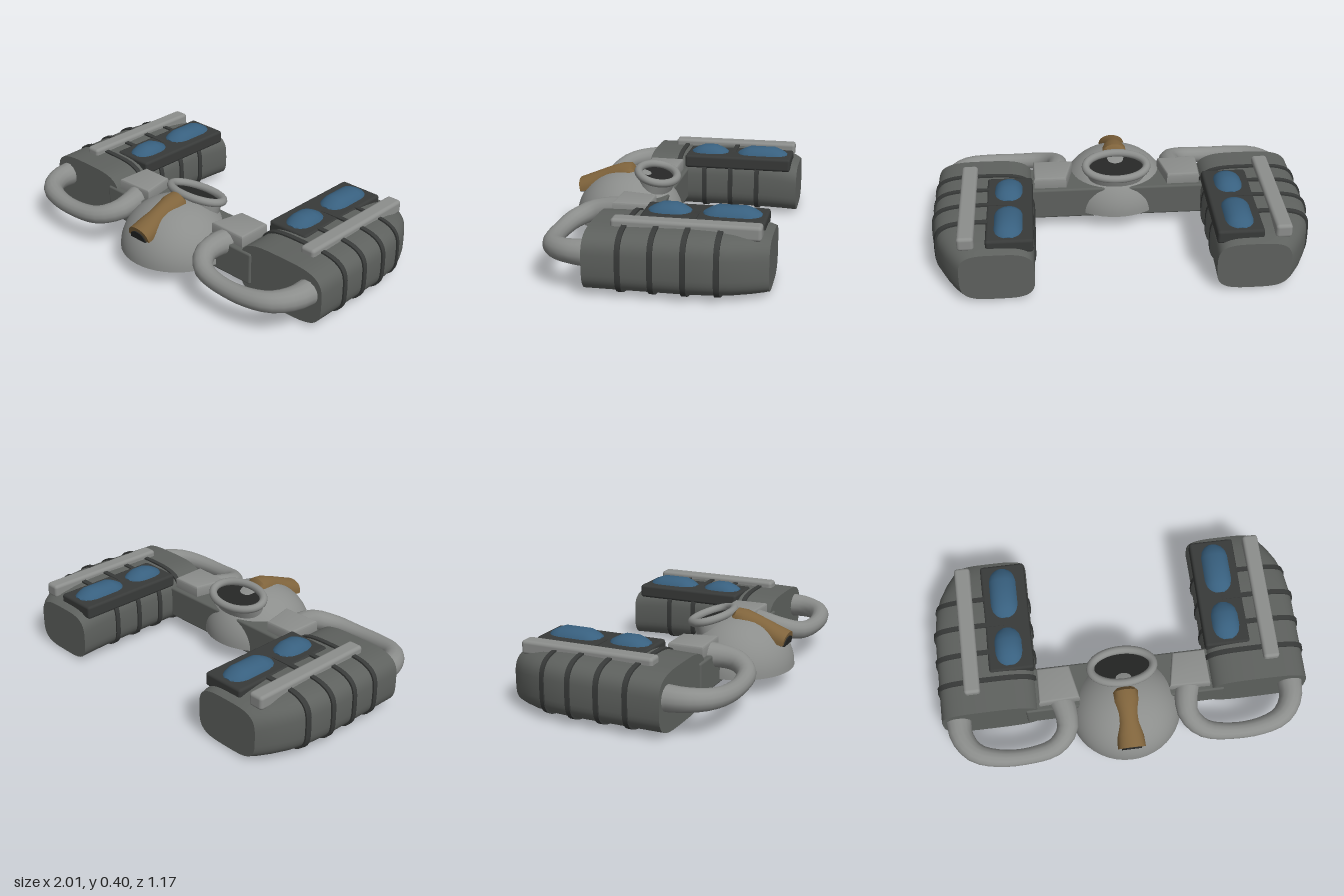
import * as THREE from 'three';
import { toCreasedNormals } from 'three/addons/utils/BufferGeometryUtils.js';
import { RoundedBoxGeometry } from 'three/addons/geometries/RoundedBoxGeometry.js';

const V = (x, y, z) => new THREE.Vector3(x, y, z);
const material = (name, color) => {
  const m = new THREE.MeshStandardMaterial({ color });
  m.name = name;
  return m;
};
const mesh = (name, geometry, mat, x = 0, y = 0, z = 0) => {
  const m = new THREE.Mesh(geometry, mat);
  m.name = name;
  m.position.set(x, y, z);
  return m;
};

// Closed solid through a list of equal-length rings, capped at both ends
function loft(rings, crease = 0.7) {
  const n = rings[0].length, last = rings.length - 1;
  const points = rings.flat(), index = [];
  for (let r = 0; r < last; r++) {
    for (let i = 0; i < n; i++) {
      const a = r * n + i, b = r * n + (i + 1) % n;
      index.push(a, b, a + n, b, b + n, a + n);
    }
  }
  for (const r of [0, last]) {
    const c = points.length;
    points.push(rings[r].reduce((s, p) => s.add(p), V(0, 0, 0)).divideScalar(n));
    for (let i = 0; i < n; i++) {
      const a = r * n + i, b = r * n + (i + 1) % n;
      index.push(...(r ? [a, b, c] : [b, a, c]));
    }
  }
  // Turn the faces outward
  let volume = 0;
  for (let i = 0; i < index.length; i += 3) {
    volume += points[index[i]].dot(points[index[i + 1]].clone().cross(points[index[i + 2]]));
  }
  if (volume < 0) index.reverse();
  const g = new THREE.BufferGeometry().setFromPoints(points);
  g.setIndex(index);
  return toCreasedNormals(g, crease);
}

// Superellipse ring in the xy plane
function ovalRing(cx, cy, z, rx, ry, power = 2, n = 36) {
  const f = v => Math.sign(v) * Math.abs(v) ** (2 / power);
  return Array.from({ length: n }, (_, i) => {
    const a = i / n * Math.PI * 2;
    return V(cx + rx * f(Math.cos(a)), cy + ry * f(Math.sin(a)), z);
  });
}

// Pod stations: z, outer x, top y
const POD = [
  [0.287, 0.995, 0.318], [0, 0.995, 0.325], [-0.2, 0.995, 0.33], [-0.32, 0.982, 0.328],
  [-0.42, 0.955, 0.318], [-0.5, 0.915, 0.305], [-0.56, 0.875, 0.29], [-0.587, 0.85, 0.278],
];
function podRing(z, grow = 0) {
  let i = 0;
  while (i < POD.length - 2 && z < POD[i + 1][0]) i++;
  const [a, b] = [POD[i], POD[i + 1]], t = (z - a[0]) / (b[0] - a[0]);
  const outer = a[1] + (b[1] - a[1]) * t, top = a[2] + (b[2] - a[2]) * t;
  const inner = 0.465, low = 0.01;
  return ovalRing((inner + outer) / 2, (low + top) / 2, z,
    (outer - inner) / 2 + grow, (top - low) / 2 + grow, 3.6, 48);
}

// Smooth tube with a radius that varies along the path
function taperedTube(points, radius, segments = 22, sides = 14) {
  const curve = new THREE.CatmullRomCurve3(points);
  const rings = [];
  for (let i = 0; i <= segments; i++) {
    const t = i / segments, p = curve.getPointAt(t), d = curve.getTangentAt(t);
    const side = d.clone().cross(V(0, 1, 0)).normalize(), up = side.clone().cross(d);
    rings.push(Array.from({ length: sides }, (_, k) => {
      const a = k / sides * Math.PI * 2, r = radius(t);
      return p.clone().addScaledVector(side, r * Math.cos(a)).addScaledVector(up, r * Math.sin(a));
    }));
  }
  return loft(rings, 0.9);
}

// Glossy blister, rounded across and tapered at both ends
function blister(length) {
  const h = length / 2;
  const half = [[h, 0.045, 0.05], [h - 0.015, 0.066, 0.06], [h - 0.04, 0.078, 0.073], [h - 0.075, 0.083, 0.086]];
  const all = [...half, ...half.slice().reverse().map(([z, w, y]) => [-z, w, y])];
  return loft(all.map(([z, w, y]) => ovalRing(0, 0, z, w, y, 2.2, 28)), 0.9);
}

export function createModel() {
  const light = material('lightGrey', 0x8c8e8c);
  const grey = material('hullGrey', 0x5e615e);
  const dark = material('darkGrey', 0x383a39);
  const blue = material('blue', 0x38607f);
  const brown = material('brown', 0x80643c);
  const black = material('nearBlack', 0x262726);
  const model = new THREE.Group();
  model.name = 'craft';

  // Left half, mirrored for the right
  const side = new THREE.Group();
  side.name = 'leftSide';
  side.add(mesh('pod', loft(POD.map(s => podRing(s[0])), 0.75), grey));
  for (const z of [0.11, -0.045, -0.2, -0.355]) {
    side.add(mesh('podBand', loft([podRing(z + 0.013, 0.009), podRing(z - 0.013, 0.009)]), dark));
  }
  side.add(mesh('blisterPlate', new RoundedBoxGeometry(0.243, 0.075, 0.62, 2, 0.015), dark, 0.587, 0.297, -0.238));
  side.add(mesh('rearBlister', blister(0.29), blue, 0.592, 0.29, -0.375));
  side.add(mesh('frontBlister', blister(0.215), blue, 0.592, 0.29, -0.062));
  side.add(mesh('rail', new RoundedBoxGeometry(0.086, 0.075, 0.73, 3, 0.018), light, 0.807, 0.318, -0.183));

  // Curved handle joining pod and centre
  const path = [
    V(0.35, 0.24, 0.22), V(0.325, 0.235, 0.32), V(0.33, 0.22, 0.41), V(0.4, 0.195, 0.485),
    V(0.52, 0.182, 0.513), V(0.7, 0.182, 0.51), V(0.83, 0.19, 0.465), V(0.895, 0.195, 0.37), V(0.905, 0.195, 0.26),
  ];
  side.add(mesh('handle', taperedTube(path, t => 0.045 + 0.024 * Math.abs(2 * t - 1) ** 1.5), light));

  // Wedge-shaped shoulder pad
  const pad = new THREE.Shape([[0.29, -0.09], [0.445, -0.09], [0.45, -0.26], [0.255, -0.255]]
    .map(([x, y]) => new THREE.Vector2(x, y)));
  const padGeometry = new THREE.ExtrudeGeometry(pad,
    { depth: 0.07, bevelEnabled: true, bevelSize: 0.012, bevelThickness: 0.012, bevelSegments: 3 });
  padGeometry.rotateX(-Math.PI / 2);
  side.add(mesh('shoulderPad', toCreasedNormals(padGeometry, 0.6), light, 0, 0.232, 0));
  model.add(side);
  const right = side.clone();
  right.name = 'rightSide';
  right.scale.x = -1;
  model.add(right);

  // Crossbar
  model.add(mesh('crossbar', new RoundedBoxGeometry(1.08, 0.18, 0.245, 2, 0.012), grey, 0, 0.163, 0.175));

  // Central dome with a flat underside
  const profile = [new THREE.Vector2(0.001, 0), new THREE.Vector2(0.295, 0)];
  for (let i = 1; i <= 16; i++) {
    const a = i / 16 * Math.PI / 2;
    profile.push(new THREE.Vector2(Math.max(0.295 * Math.cos(a), 0.0005), 0.268 * Math.sin(a)));
  }
  const dome = mesh('dome', toCreasedNormals(new THREE.LatheGeometry(profile, 44), 0.7), light, 0, 0.098, 0.29);
  dome.scale.x = 1.03;
  model.add(dome);

  // Tilted hatch: neck, dark opening and rim
  const hatch = new THREE.Group();
  hatch.name = 'hatch';
  hatch.position.set(0, 0.347, 0.132);
  hatch.rotation.x = -0.25;
  const rimPath = new THREE.CatmullRomCurve3(Array.from({ length: 24 }, (_, i) => {
    const a = i / 24 * Math.PI * 2;
    return V(0.17 * Math.cos(a), 0, 0.105 * Math.sin(a));
  }), true);
  hatch.add(mesh('hatchRim', new THREE.TubeGeometry(rimPath, 48, 0.022, 12, true), light));
  const neck = new THREE.CylinderGeometry(0.165, 0.15, 0.1, 40).scale(1, 1, 0.61);
  hatch.add(mesh('hatchNeck', neck, light, 0, -0.07, 0));
  const opening = new THREE.CylinderGeometry(0.16, 0.16, 0.006, 40).scale(1, 1, 0.61);
  hatch.add(mesh('hatchOpening', opening, black, 0, -0.017, 0));
  model.add(hatch);

  // Waisted arched hood on the dome: z, top y, half width, bottom y
  const hood = [
    [0.257, 0.375, 0.06, 0.32], [0.28, 0.402, 0.072, 0.32], [0.33, 0.398, 0.072, 0.31],
    [0.39, 0.378, 0.06, 0.29], [0.44, 0.358, 0.06, 0.27], [0.5, 0.333, 0.072, 0.25], [0.564, 0.304, 0.075, 0.242],
  ];
  const archRing = (z, top, w, low, lean = 0) => Array.from({ length: 17 }, (_, i) => {
    const a = i / 16 * Math.PI, s = Math.sin(a) ** 0.8;
    return V(w * Math.cos(a), low + (top - low) * s, z + lean * (s - 0.5));
  });
  model.add(mesh('hood', loft(hood.map(([z, t, w, l], i) => archRing(z, t, w, l, i === 6 ? 0.014 : 0)), 0.8), brown));
  model.add(mesh('hoodOpening', loft([
    archRing(0.535, 0.282, 0.054, 0.235, 0.01), archRing(0.568, 0.282, 0.054, 0.235, 0.01),
  ]), black));
  return model;
}
